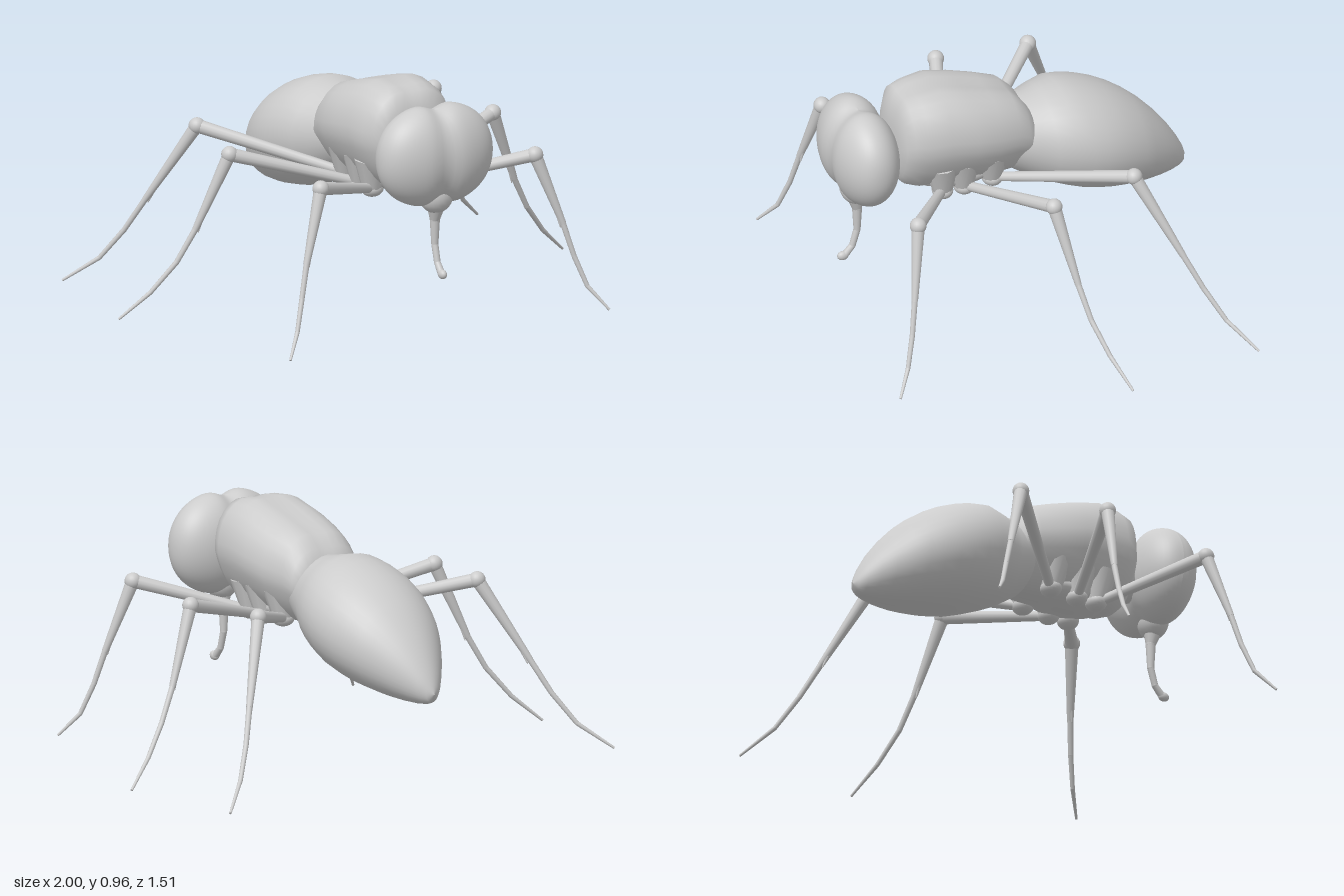
import * as THREE from 'three';

const material = new THREE.MeshStandardMaterial({ color: 0xcccccc, side: THREE.DoubleSide });

function add(parent, geometry, name) {
  const mesh = new THREE.Mesh(geometry, material);
  mesh.name = name;
  parent.add(mesh);
  return mesh;
}

// Smooth skin over rounded sections [z, top, bottom, half width], front to back.
// power squares off the section, taper narrows the underside, groove dents the top.
function loft(stations, { power = 2, taper = 0, groove = 0, sides = 32 } = {}) {
  const positions = [], index = [];
  for (const [z, top, bottom, w] of stations) {
    for (let j = 0; j < sides; j++) {
      const a = (j / sides) * Math.PI * 2;
      const c = Math.cos(a), s = Math.sin(a);
      const r = Math.pow(Math.abs(c) ** power + Math.abs(s) ** power, -1 / power);
      const x = c * r * w * (1 - taper * Math.max(0, -s));
      const dent = s > 0 ? groove * Math.exp(-((x / 0.05) ** 2)) : 0;
      positions.push(x, (top + bottom) / 2 + s * r * (top - bottom) / 2 - dent, z);
    }
  }
  for (let i = 0; i < stations.length - 1; i++) {
    for (let j = 0; j < sides; j++) {
      const a = i * sides + j, b = i * sides + (j + 1) % sides;
      index.push(a, a + sides, b, b, a + sides, b + sides);
    }
  }
  const geometry = new THREE.BufferGeometry();
  geometry.setAttribute('position', new THREE.Float32BufferAttribute(positions, 3));
  geometry.setIndex(index);
  geometry.computeVertexNormals();
  return geometry;
}

// Tapered rod between two points
function rod(parent, from, to, r0, r1, name) {
  const a = new THREE.Vector3(...from), b = new THREE.Vector3(...to);
  const dir = b.clone().sub(a);
  const mesh = add(parent, new THREE.CylinderGeometry(r1, r0, dir.length(), 12), name);
  mesh.position.copy(a).add(b).multiplyScalar(0.5);
  mesh.quaternion.setFromUnitVectors(new THREE.Vector3(0, 1, 0), dir.normalize());
  return mesh;
}

function ball(parent, at, radius, name, scale = [1, 1, 1]) {
  const mesh = add(parent, new THREE.SphereGeometry(radius, 20, 14), name);
  mesh.position.set(...at);
  mesh.scale.set(...scale);
  return mesh;
}

// Head: one rounded form, parted into two big eyes by a central groove
function buildHead(parent) {
  const head = new THREE.Group();
  head.name = 'head';
  const geometry = new THREE.SphereGeometry(1, 56, 36);
  const p = geometry.attributes.position;
  for (let i = 0; i < p.count; i++) {
    const v = new THREE.Vector3().fromBufferAttribute(p, i);
    const rho = Math.hypot(v.y, v.z);
    v.multiplyScalar(Math.pow(Math.abs(v.x) ** 2.25 + rho ** 2.25, -1 / 2.25));
    const x = v.x * 0.247;
    const dent = 1 - 0.12 * Math.exp(-((x / 0.045) ** 2));
    p.setXYZ(i, x, 0.725 + v.y * 0.207 * dent, 0.625 + v.z * 0.135 * dent);
  }
  geometry.computeVertexNormals();
  add(head, geometry, 'eyes');

  // Mouth and hanging proboscis
  ball(head, [0, 0.56, 0.64], 0.07, 'mouth', [1, 1, 0.85]);
  const path = [[0, 0.53, 0.64], [0, 0.46, 0.63], [0, 0.36, 0.63], [0, 0.29, 0.65], [0, 0.25, 0.685]];
  const radii = [0.04, 0.02, 0.014, 0.013, 0.015];
  for (let i = 0; i < 4; i++) {
    rod(head, path[i], path[i + 1], radii[i], radii[i + 1], 'proboscis');
    ball(head, path[i + 1], radii[i + 1], 'proboscisJoint');
  }
  ball(head, [0, 0.252, 0.69], 0.019, 'proboscisTip', [0.85, 1, 1.25]);

  const neck = add(head, new THREE.CylinderGeometry(0.08, 0.1, 0.14, 20), 'neck');
  neck.rotation.x = Math.PI / 2;
  neck.position.set(0, 0.7, 0.5);
  parent.add(head);
}

// Leg points: hip, knee, shin end, then three foot joints
const legs = {
  frontLeg: [[0.1, 0.52, 0.31], [0.48, 0.64, 0.575], [0.575, 0.36, 0.63], [0.61, 0.23, 0.655], [0.65, 0.11, 0.69], [0.715, 0.02, 0.75]],
  middleLeg: [[0.1, 0.52, 0.22], [0.59, 0.66, 0.045], [0.715, 0.36, -0.005], [0.785, 0.23, -0.03], [0.88, 0.11, -0.07], [0.995, 0.006, -0.118]],
  backLeg: [[0.1, 0.53, 0.1], [0.53, 0.675, -0.32], [0.68, 0.36, -0.465], [0.74, 0.23, -0.525], [0.815, 0.11, -0.59], [0.93, 0.012, -0.68]],
};

function buildLeg(parent, name, points, side) {
  const leg = new THREE.Group();
  leg.name = (side > 0 ? 'left' : 'right') + name[0].toUpperCase() + name.slice(1);
  const pts = points.map(([x, y, z]) => [x * side, y, z]);
  const [hip, knee, shin] = pts;
  // Hip socket flaring up into the thorax
  ball(leg, hip, 0.042, 'hip', [1.1, 0.8, 1]);
  rod(leg, hip, [hip[0] * 1.1, 0.65, hip[2] + 0.01], 0.04, 0.07, 'hipSocket');
  rod(leg, hip, knee, 0.019, 0.027, 'thigh');
  ball(leg, knee, 0.033, 'knee');
  rod(leg, knee, shin, 0.027, 0.013, 'shin');
  // Small spur on the inner side of the shin end
  const mid = knee.map((k, i) => k + (shin[i] - k) * 0.8);
  rod(leg, mid, [shin[0] - 0.012 * side, shin[1] - 0.015, shin[2]], 0.013, 0.002, 'spur');
  const radii = [0.012, 0.0105, 0.009, 0.005];
  for (let i = 2; i < 5; i++) {
    ball(leg, pts[i], radii[i - 2], 'footJoint');
    rod(leg, pts[i], pts[i + 1], radii[i - 2], radii[i - 1], 'foot');
  }
  parent.add(leg);
}

export function createModel() {
  const model = new THREE.Group();
  model.name = 'fly';
  buildHead(model);

  add(model, loft([
    [0.49, 0.71, 0.7, 0.005], [0.49, 0.83, 0.61, 0.1], [0.475, 0.89, 0.57, 0.14],
    [0.45, 0.948, 0.545, 0.175], [0.4, 0.96, 0.525, 0.197], [0.31, 0.97, 0.52, 0.21],
    [0.2, 0.942, 0.52, 0.215], [0.1, 0.912, 0.51, 0.203], [0.01, 0.883, 0.51, 0.177],
    [-0.04, 0.835, 0.52, 0.165], [-0.08, 0.78, 0.54, 0.14], [-0.1, 0.66, 0.65, 0.005],
  ], { power: 2.4, taper: 0.3, groove: 0.015 }), 'thorax');

  add(model, loft([
    [0.04, 0.68, 0.66, 0.005], [0.03, 0.77, 0.54, 0.12], [0, 0.79, 0.51, 0.15],
    [-0.08, 0.803, 0.455, 0.175], [-0.14, 0.817, 0.425, 0.21], [-0.21, 0.832, 0.395, 0.237],
    [-0.28, 0.82, 0.37, 0.249], [-0.34, 0.802, 0.356, 0.25], [-0.4, 0.778, 0.344, 0.242],
    [-0.46, 0.745, 0.335, 0.224], [-0.52, 0.703, 0.328, 0.2], [-0.57, 0.66, 0.324, 0.172],
    [-0.63, 0.595, 0.321, 0.132], [-0.68, 0.53, 0.322, 0.093], [-0.72, 0.465, 0.328, 0.058],
    [-0.745, 0.415, 0.338, 0.03], [-0.758, 0.375, 0.37, 0.002],
  ]), 'abdomen');

  // Underside plate between the hips
  ball(model, [0, 0.56, 0.22], 0.1, 'underside', [1.3, 0.6, 2]);

  for (const [name, points] of Object.entries(legs))
    for (const side of [1, -1]) buildLeg(model, name, points, side);
  return model;
}
